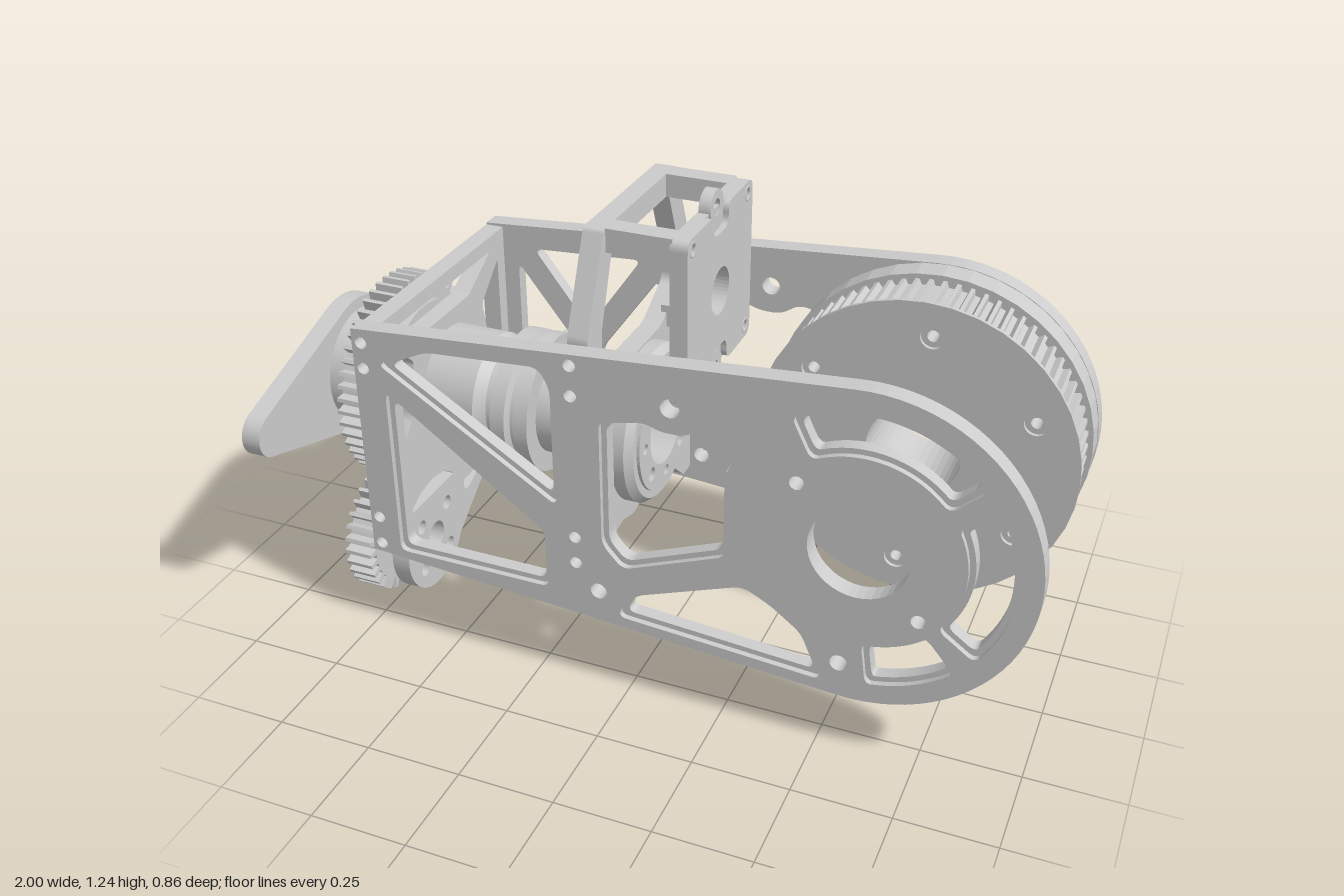
import * as THREE from 'three';
import { toCreasedNormals } from 'three/addons/utils/BufferGeometryUtils.js';

const MAT = new THREE.MeshStandardMaterial({ color: 0xcccccc, side: THREE.DoubleSide });
const AX_Y = 0.583, SHAFT_Z = -0.053, HUB_X = 0.58;

// ---------- helpers ----------
// rounded polygon drawn into a Path or Shape
function poly(pts, r = 0.02, path = new THREE.Path()) {
  const v = pts.map(p => new THREE.Vector2(...p)), n = v.length;
  const toward = (a, b) => a.clone().lerp(b, Math.min(r / a.distanceTo(b), 0.45));
  v.forEach((p, i) => {
    const a = toward(p, v[(i + n - 1) % n]), b = toward(p, v[(i + 1) % n]);
    i ? path.lineTo(a.x, a.y) : path.moveTo(a.x, a.y);
    path.quadraticCurveTo(p.x, p.y, b.x, b.y);
  });
  path.closePath();
  return path;
}
// push every edge of a polygon outward by d
function grow(pts, d) {
  const v = pts.map(p => new THREE.Vector2(...p)), n = v.length;
  const s = Math.sign(THREE.ShapeUtils.area(v));
  const normal = (a, b) => new THREE.Vector2(b.y - a.y, a.x - b.x).normalize().multiplyScalar(s);
  return v.map((p, i) => {
    const n1 = normal(v[(i + n - 1) % n], p), n2 = normal(p, v[(i + 1) % n]);
    const m = n1.clone().add(n2).multiplyScalar(d / (1 + n1.dot(n2)));
    return [p.x + m.x, p.y + m.y];
  });
}
function circle(x, y, r, path = new THREE.Path()) {
  path.absarc(x, y, r, 0, Math.PI * 2, false);
  return path;
}
const polar = (cx, cy, r, deg) => [cx + r * Math.cos(deg * Math.PI / 180), cy + r * Math.sin(deg * Math.PI / 180)];
function arcSlot(cx, cy, r0, r1, a0, a1, n = 10) {
  const pts = [];
  for (let i = 0; i <= n; i++) pts.push(polar(cx, cy, r1, a0 + (a1 - a0) * i / n));
  for (let i = n; i >= 0; i--) pts.push(polar(cx, cy, r0, a0 + (a1 - a0) * i / n));
  return pts;
}
function toothed(cx, cy, root, tip, teeth) {
  const pts = [], step = 360 / teeth;
  for (let i = 0; i < teeth; i++)
    [[root, 0], [root, 0.42], [tip, 0.57], [tip, 0.85]].forEach(([r, f]) => pts.push(new THREE.Vector2(...polar(cx, cy, r, (i + f) * step))));
  return new THREE.Shape(pts);
}
function add(group, geo, name) {
  const m = new THREE.Mesh(geo, MAT);
  m.name = name;
  group.add(m);
  return m;
}
// slab in the xy plane from z0 to z1
function slabZ(group, name, shape, holes, z0, z1) {
  shape.holes.push(...holes);
  const g = new THREE.ExtrudeGeometry(shape, { depth: z1 - z0, bevelEnabled: false, curveSegments: 20 });
  return add(group, g.translate(0, 0, z0), name);
}
// slab across x; its shape is drawn with (-z, y)
function slabX(group, name, shape, holes, x0, x1) {
  shape.holes.push(...holes);
  const g = new THREE.ExtrudeGeometry(shape, { depth: x1 - x0, bevelEnabled: false, curveSegments: 20 });
  return add(group, g.rotateY(Math.PI / 2).translate(x0, 0, 0), name);
}
const zy = pts => pts.map(([z, y]) => [-z, y]);
// turned part about the main shaft axis; profile is [radius, x]
function turned(group, name, profile) {
  const pts = [...profile, profile[0]].map(p => new THREE.Vector2(...p));
  const g = toCreasedNormals(new THREE.LatheGeometry(pts, 56), 0.5);
  return add(group, g.rotateZ(-Math.PI / 2).translate(0, AX_Y, SHAFT_Z), name);
}

// ---------- side plates ----------
const frontPanel = [
  [[-0.62, 0.82], [-0.52, 0.87], [-0.22, 0.89], [-0.19, 0.84], [-0.19, 0.55]],
  [[-0.62, 0.72], [-0.22, 0.43], [-0.22, 0.29], [-0.62, 0.29]],
];
const backPanel = [
  [[-0.57, 0.85], [-0.25, 0.87], [-0.41, 0.64]],
  [[-0.62, 0.8], [-0.62, 0.46], [-0.44, 0.46], [-0.44, 0.57]],
  [[-0.2, 0.82], [-0.2, 0.46], [-0.38, 0.46], [-0.38, 0.57]],
];
const armWindows = [
  [[-0.045, 0.78], [0.05, 0.8], [0.09, 0.785], [0.15, 0.785], [0.2, 0.82], [0.29, 0.8], [0.25, 0.7], [0.25, 0.5], [0, 0.4], [-0.045, 0.45]],
  [[0, 0.25], [0.02, 0.3], [0.3, 0.405], [0.37, 0.37], [0.45, 0.31], [0.49, 0.215]],
  arcSlot(HUB_X, AX_Y, 0.265, 0.35, 42, 116),
  arcSlot(HUB_X, AX_Y, 0.265, 0.35, -36, 26),
  arcSlot(HUB_X, AX_Y, 0.265, 0.35, -82, -50),
];
function sidePlate(group, name, panel, zInner, zOuter) {
  const plate = new THREE.Group();
  plate.name = name;
  const bores = () => [
    circle(HUB_X, AX_Y, 0.122), circle(0.427, 0.735, 0.018), circle(0.73, 0.433, 0.018),
    circle(0.12, 0.86, 0.024), circle(-0.07, 0.3, 0.022), circle(0.55, 0.262, 0.022),
    ...[0.87, 0.8, 0.365, 0.285].map(y => circle(-0.69, y, 0.016)),
    ...[0.92, 0.84, 0.445, 0.37].map(y => circle(-0.13, y, 0.016)),
  ];
  const outline = () => {
    const s = new THREE.Shape();
    s.moveTo(-0.715, 0.905);
    s.lineTo(-0.715, 0.26);
    s.absarc(HUB_X, AX_Y, 0.418, -1.646, 1.646, false);
    s.closePath();
    return s;
  };
  const step = zInner + (zOuter - zInner) * 0.7;
  // web layer, then a skin with wider windows that leaves a stepped edge
  [[zInner, step, 0], [step, zOuter, 0.014]].forEach(([a, b, d], i) => {
    const windows = [...panel, ...armWindows].map(p => poly(d ? grow(p, d) : p, 0.025));
    slabZ(plate, i ? 'plateSkin' : 'plateWeb', outline(), [...windows, ...bores()], Math.min(a, b), Math.max(a, b));
  });
  group.add(plate);
}

// ---------- pulley ----------
function pulley(group) {
  const p = new THREE.Group();
  p.name = 'pulley';
  const holes = r => [circle(HUB_X, AX_Y, 0.122), ...[86, 26, -34, -94, -154, 146].map(a => circle(...polar(HUB_X, AX_Y, 0.325, a), r))];
  const disc = r => circle(HUB_X, AX_Y, r, new THREE.Shape());
  slabZ(p, 'pulleyBackFlange', disc(0.417), holes(0.015), -0.38, -0.312);
  slabZ(p, 'pulleyTeeth', toothed(HUB_X, AX_Y, 0.388, 0.404, 72), holes(0.015), -0.312, -0.167);
  slabZ(p, 'pulleyFrontFlange', disc(0.414), holes(0.03), -0.167, -0.157);
  group.add(p);
}

// ---------- cross walls ----------
function crossWalls(group) {
  const hole = r => circle(-SHAFT_Z, AX_Y, r);
  // end plate with a hanging round tab for the small gear
  const end = new THREE.Shape();
  [[0.27, 0.9], [0.27, 0.26], [0.235, 0.225]].forEach(([z, y], i) => i ? end.lineTo(-z, y) : end.moveTo(-z, y));
  end.absarc(-0.097, 0.173, 0.147, Math.PI * 0.94, Math.PI * 1.84, false);
  [[-0.1, 0.155], [-0.17, 0.205], [-0.26, 0.26], [-0.38, 0.26], [-0.38, 0.9]].forEach(([z, y]) => end.lineTo(-z, y));
  end.closePath();
  const endWindows = [
    [[0.19, 0.86], [-0.3, 0.86], [-0.17, 0.785], [0.06, 0.785]],
    [[0.23, 0.82], [0.13, 0.73], [0.16, 0.58], [0.23, 0.5]],
    [[-0.34, 0.82], [-0.24, 0.73], [-0.27, 0.58], [-0.34, 0.5]],
    [[-0.34, 0.42], [-0.2, 0.4], [-0.115, 0.37], [-0.14, 0.31], [-0.34, 0.3]],
    [[0.22, 0.31], [0.16, 0.345], [0.09, 0.355], [0.03, 0.345], [-0.02, 0.31]],
    [[-0.07, 0.257], [-0.07, 0.225], [-0.09, 0.22], [-0.17, 0.25], [-0.17, 0.258]],
  ].map(w => poly(zy(w), 0.012));
  const tabBolts = [-1, 1].flatMap(i => [-1, 1].map(j => circle(-0.097 + i * 0.068, 0.173 + j * 0.068, 0.02)));
  slabX(group, 'endPlate', end, [hole(0.15), circle(-0.097, 0.173, 0.042), ...tabBolts, ...endWindows], -0.715, -0.665);

  // middle wall rising into the bracket frame
  const mid = poly(zy([[0.27, 0.257], [0.27, 0.96], [0.165, 1.2], [-0.272, 1.2], [-0.37, 0.96], [-0.38, 0.94], [-0.38, 0.257], [-0.33, 0.257],
    [-0.2, 0.37], [-0.1, 0.36], [0.02, 0.34], [0.09, 0.36], [0.16, 0.345], [0.22, 0.257]]), 0.01, new THREE.Shape());
  const midWindows = [
    [[0.12, 1.14], [-0.225, 1.14], [-0.3, 0.95], [-0.3, 0.87], [-0.17, 0.8], [0.06, 0.8], [0.19, 0.87], [0.19, 0.95]],
    [[0.205, 0.81], [0.14, 0.76], [0.175, 0.59], [0.205, 0.59]],
    [[-0.34, 0.81], [-0.25, 0.76], [-0.28, 0.59], [-0.34, 0.59]],
  ].map(w => poly(zy(w)));
  slabX(group, 'middleWall', mid, [hole(0.15), ...midWindows], -0.157, -0.105);
}

// ---------- raised bracket ----------
function bracket(group) {
  const b = new THREE.Group();
  b.name = 'bracket';
  const corners = [0.13, -0.235].flatMap(z => [1.17, 0.81].map(y => [z, y]));
  const holes = () => [circle(0.053, 0.987, 0.06), ...corners.map(([z, y]) => circle(-z, y, 0.014)), circle(0.053, 1.202 - 0.0, 0)].slice(0, 5);
  const plain = [[0.162, 0.777], [0.162, 1.2], [-0.27, 1.2], [-0.27, 0.777]];
  // outer layer has a rounded notch around each lug
  const notched = [[0.162, 0.777], [0.162, 1.2], [-0.004, 1.2], [-0.004, 1.14], [-0.102, 1.14], [-0.102, 1.2],
    [-0.27, 1.2], [-0.27, 0.777], [-0.102, 0.777], [-0.102, 0.838], [-0.004, 0.838], [-0.004, 0.777]];
  slabX(b, 'bracketFace', poly(zy(plain), 0.03, new THREE.Shape()), holes(), 0.055, 0.085);
  slabX(b, 'bracketFaceSkin', poly(zy(notched), 0.03, new THREE.Shape()), holes(), 0.085, 0.1);
  for (const [z, y] of corners) {
    add(b, new THREE.BoxGeometry(0.18, 0.06, 0.055), 'bracketArm').position.set(-0.03, y, z);
    const ring = add(b, new THREE.TorusGeometry(0.017, 0.004, 6, 20), 'boltRim');
    ring.rotation.y = Math.PI / 2;
    ring.position.set(0.098, y, z);
  }
  for (const y of [1.202, 0.773])
    slabX(b, 'lug', circle(0.053, y, 0.044, new THREE.Shape()), [circle(0.053, y, 0.021)], 0.058, 0.088);
  group.add(b);
}

// ---------- shaft and gears ----------
function shaftLine(group) {
  const s = new THREE.Group();
  s.name = 'shaftAssembly';
  const R = 0.105;
  const boltRing = (r0, r1) => Array.from({ length: 8 }, (_, i) => circle(...polar(0.053, AX_Y, 0.136, i * 45), i % 2 ? r1 : r0));
  turned(s, 'shaftTube', [[R, -0.95], [0.158, -0.95], [0.158, -0.52], [0.132, -0.495], [0.132, -0.29], [0.158, -0.265], [0.158, -0.105], [R, -0.105]]);
  turned(s, 'gearHub', [[0.15, -0.77], [0.21, -0.77], [0.21, -0.735], [0.15, -0.735]]);
  turned(s, 'clampCollar', [[0.125, -0.455], [0.185, -0.455], [0.185, -0.415], [0.165, -0.408], [0.165, -0.397], [0.185, -0.39], [0.185, -0.35], [0.125, -0.35]]);
  // clamp ears at the rear of the collar, above and below the split
  for (const x of [-0.432, -0.373])
    for (const dy of [-0.04, 0.04])
      add(s, new THREE.BoxGeometry(0.045, 0.06, 0.11), 'clampEar').position.set(x, AX_Y + dy, -0.262);
  turned(s, 'bearingRing', [[0.17, -0.105], [0.212, -0.105], [0.212, -0.07], [0.195, -0.05], [0.17, -0.05]]);
  slabX(s, 'bearingFlange', circle(0.053, AX_Y, 0.175, new THREE.Shape()), [circle(0.053, AX_Y, R), ...boltRing(0.014, 0.019)], -0.105, -0.042);

  slabX(s, 'largeGear', toothed(0.053, AX_Y, 0.252, 0.28, 50), [circle(0.053, AX_Y, 0.15)], -0.847, -0.77);
  slabX(s, 'smallGear', toothed(-0.097, 0.173, 0.143, 0.172, 30), [circle(-0.097, 0.173, 0.042)], -0.847, -0.768);

  // teardrop lever on the outer end
  const lever = new THREE.Shape();
  lever.absarc(0.053, AX_Y, 0.19, -1.92, 1.92, false);
  lever.absarc(-0.37, AX_Y, 0.06, 1.92, 2 * Math.PI - 1.92, false);
  lever.closePath();
  slabX(s, 'lever', lever, [circle(0.053, AX_Y, R), ...boltRing(0.013, 0.013)], -1, -0.948);
  group.add(s);
}

export function createModel() {
  const group = new THREE.Group();
  group.name = 'gearedArmFrame';
  sidePlate(group, 'frontPlate', frontPanel, 0.27, 0.32);
  sidePlate(group, 'backPlate', backPanel, -0.38, -0.432);
  pulley(group);
  crossWalls(group);
  bracket(group);
  shaftLine(group);
  return group;
}
